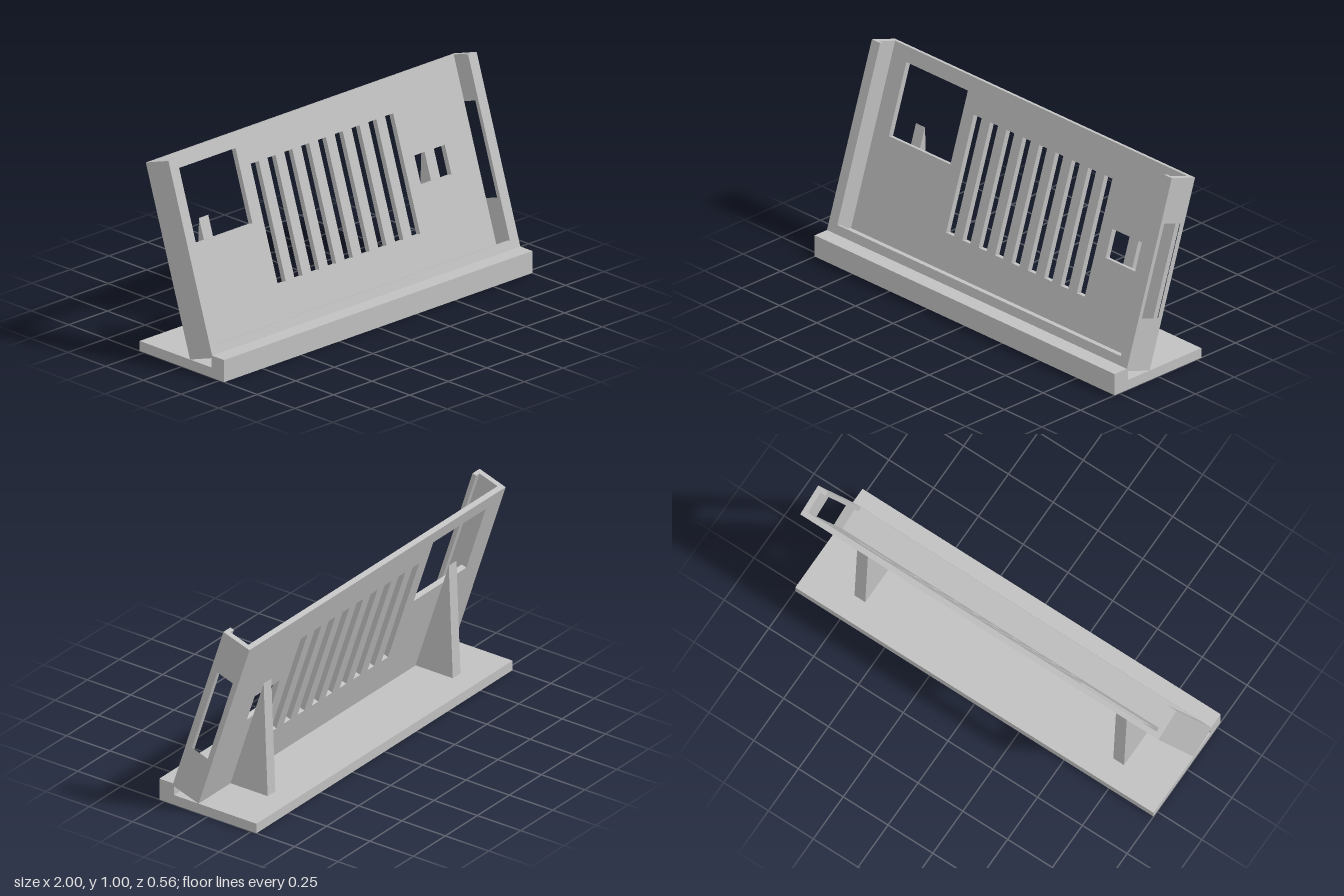
import * as THREE from 'three';

const HALF = 1;        // half width of the whole model
const WALL = 0.0275;   // wall thickness
const LIP = 0.0215;    // thickness of the front retaining lip
const DEPTH = 0.158;   // tray depth
const LENGTH = 0.946;  // tray height along its slope
const TILT = THREE.MathUtils.degToRad(18.08);

const rect = (x0, y0, x1, y1) =>
  [[x0, y0], [x1, y0], [x1, y1], [x0, y1]].map(([x, y]) => new THREE.Vector2(x, y));

export function createModel() {
  const grey = new THREE.MeshStandardMaterial({ color: 0xc0c0c0 });
  grey.name = 'grey plastic';
  const model = new THREE.Group();
  model.name = 'deviceStand';

  // Flat plate in x/y, thickened along z from z0
  function plate(name, outline, holes, z0, depth, parent) {
    const shape = new THREE.Shape(outline);
    shape.holes = holes.map((h) => new THREE.Path(h));
    const geo = new THREE.ExtrudeGeometry(shape, { depth, bevelEnabled: false });
    geo.translate(0, 0, z0);
    const mesh = new THREE.Mesh(geo, grey);
    mesh.name = name;
    parent.add(mesh);
  }

  // Side profile given as [z, y] points, thickened along x from x0 to x1
  function profile(name, points, holes, x0, x1, parent) {
    const flip = (list) => list.map(([z, y]) => new THREE.Vector2(-z, y));
    const shape = new THREE.Shape(flip(points));
    shape.holes = holes.map((h) => new THREE.Path(flip(h)));
    const geo = new THREE.ExtrudeGeometry(shape, { depth: x1 - x0, bevelEnabled: false });
    geo.rotateY(Math.PI / 2).translate(x0, 0, 0);
    const mesh = new THREE.Mesh(geo, grey);
    mesh.name = name;
    parent.add(mesh);
  }

  // Base slab with raised front edge
  profile('base', [[-0.28, 0], [0.28, 0], [0.28, 0.11], [0.195, 0.11], [0.195, 0.05], [-0.28, 0.05]],
    [], -HALF, HALF, model);

  // Leaning tray: local y runs up the slope, local z from back to front
  const tray = new THREE.Group();
  tray.name = 'tray';
  tray.position.set(0, 0.05, 0.054);
  tray.rotation.x = -TILT;
  model.add(tray);

  // Back panel with large window, small window and vent slots
  const inner = HALF - WALL;
  const holes = [rect(-0.875, 0.512, -0.465, 0.874), rect(0.6, 0.417, 0.797, 0.559)];
  for (let i = 0; i < 9; i++) {
    const x = -0.369 + i * 0.109;
    holes.push(rect(x - 0.026, 0.202, x + 0.026, 0.78));
  }
  plate('backPanel', rect(-inner, 0, inner, LENGTH), holes, 0, WALL, tray);

  // Side walls, the left one with a cable opening
  const wall = [[0, 0], [DEPTH, 0], [DEPTH, LENGTH], [0, LENGTH]];
  const opening = [[WALL, 0.257], [DEPTH - LIP, 0.257], [DEPTH - LIP, 0.722], [WALL, 0.722]];
  profile('leftWall', wall, [opening], inner, HALF, tray);
  profile('rightWall', wall, [], -HALF, -inner, tray);

  // Tray floor
  profile('trayFloor', [[WALL, 0], [DEPTH - LIP, 0], [DEPTH - LIP, WALL], [WALL, WALL]],
    [], -inner, inner, tray);

  // U-shaped lip around the front
  const edge = HALF - 2 * WALL;
  const lip = [[-inner, 0], [inner, 0], [inner, LENGTH], [edge, LENGTH], [edge, 2 * WALL],
    [-edge, 2 * WALL], [-edge, LENGTH], [-inner, LENGTH]].map(([x, y]) => new THREE.Vector2(x, y));
  plate('frontLip', lip, [], DEPTH - LIP, LIP, tray);

  // Triangular struts behind the panel
  for (const [name, x] of [['rightStrut', -0.725], ['leftStrut', 0.72]]) {
    profile(name, [[-0.16, 0.05], [0.054, 0.05], [-0.137, 0.635]], [], x - 0.03, x + 0.03, model);
  }
  return model;
}
